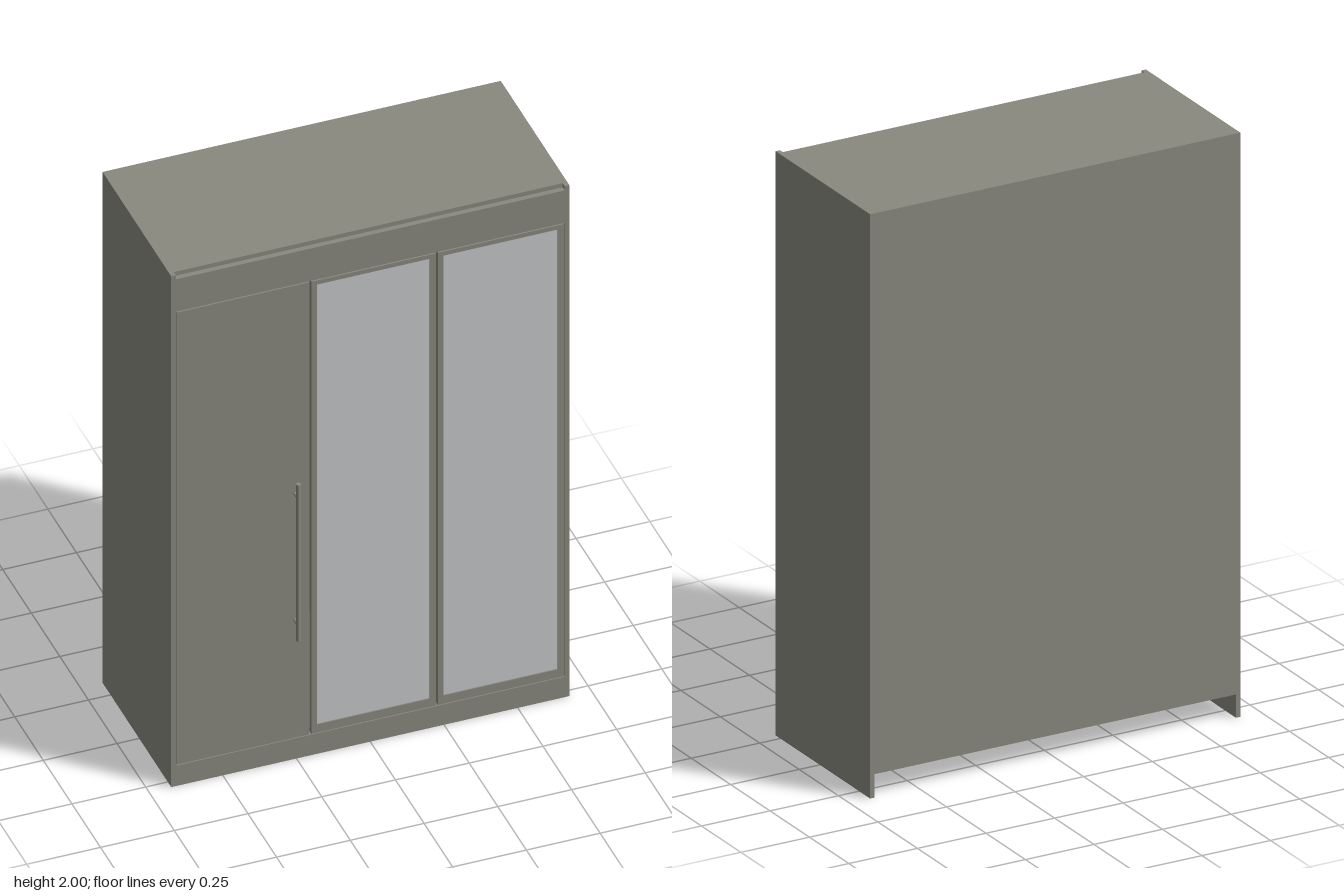
import * as THREE from 'three';

export function createModel() {
  const root = new THREE.Group();
  root.name = 'wardrobe';
  const panel = new THREE.MeshStandardMaterial({ color: 0x8a897e });
  panel.name = 'greyOlivePanel';
  const mirror = new THREE.MeshStandardMaterial({ color: 0xc6c7c9 });
  mirror.name = 'mirrorGlass';

  // Box given by its minimum and maximum corners
  function box(name, x0, x1, y0, y1, z0, z1, material = panel, parent = root) {
    const mesh = new THREE.Mesh(new THREE.BoxGeometry(x1 - x0, y1 - y0, z1 - z0), material);
    mesh.position.set((x0 + x1) / 2, (y0 + y1) / 2, (z0 + z1) / 2);
    mesh.name = name;
    parent.add(mesh);
    return mesh;
  }

  const W = 0.675, IN = 0.659, BACK = -0.32, FRONT = 0.28;
  const FACE = 0.262; // rear plane of the doors and fascia
  const DOOR_Y0 = 0.083, DOOR_Y1 = 1.853;

  // Carcass, open at the back below the base panel
  box('leftSide', IN, W, 0, 2, BACK, FRONT);
  box('rightSide', -W, -IN, 0, 2, BACK, FRONT);
  box('topPanel', -IN, IN, 1.984, 2, BACK, FACE);
  box('basePanel', -IN, IN, 0.08, 0.096, BACK, FACE);
  box('backPanel', -IN, IN, 0.08, 1.984, BACK, BACK + 0.01);
  box('plinth', -IN, IN, 0, 0.08, FACE, FRONT);
  box('fascia', -IN, IN, 1.857, 1.984, FACE, FRONT);

  // Plain door
  box('plainDoor', -0.657, -0.207, DOOR_Y0, DOOR_Y1, FACE, FRONT);

  // Framed doors with slightly recessed mirrors
  function mirrorDoor(name, x0, x1) {
    const door = new THREE.Group();
    door.name = name;
    root.add(door);
    const frame = new THREE.Shape();
    frame.moveTo(x0, DOOR_Y0).lineTo(x1, DOOR_Y0).lineTo(x1, DOOR_Y1).lineTo(x0, DOOR_Y1).closePath();
    const a = x0 + 0.019, b = x1 - 0.021, c = 0.115, d = 1.837;
    const hole = new THREE.Path();
    hole.moveTo(a, c).lineTo(a, d).lineTo(b, d).lineTo(b, c).closePath();
    frame.holes.push(hole);
    const mesh = new THREE.Mesh(
      new THREE.ExtrudeGeometry(frame, { depth: FRONT - FACE, bevelEnabled: false }), panel);
    mesh.position.z = FACE;
    mesh.name = 'doorFrame';
    door.add(mesh);
    box('mirrorPane', a, b, c, d, FRONT - 0.01, FRONT - 0.004, mirror, door);
  }
  mirrorDoor('middleMirrorDoor', -0.2, 0.223);
  mirrorDoor('leftMirrorDoor', 0.229, 0.657);

  // Bar handle on two standoffs
  const handle = new THREE.Group();
  handle.name = 'handle';
  handle.position.set(-0.256, 0, 0.312);
  root.add(handle);
  const bar = new THREE.Mesh(new THREE.CylinderGeometry(0.008, 0.008, 0.612, 24), panel);
  bar.position.y = 0.792;
  bar.name = 'handleBar';
  handle.add(bar);
  for (const y of [0.545, 1.04]) {
    const post = new THREE.Mesh(new THREE.CylinderGeometry(0.005, 0.005, 0.034, 16), panel);
    post.rotation.x = Math.PI / 2;
    post.position.set(0, y, -0.017);
    post.name = 'handlePost';
    handle.add(post);
  }
  return root;
}
